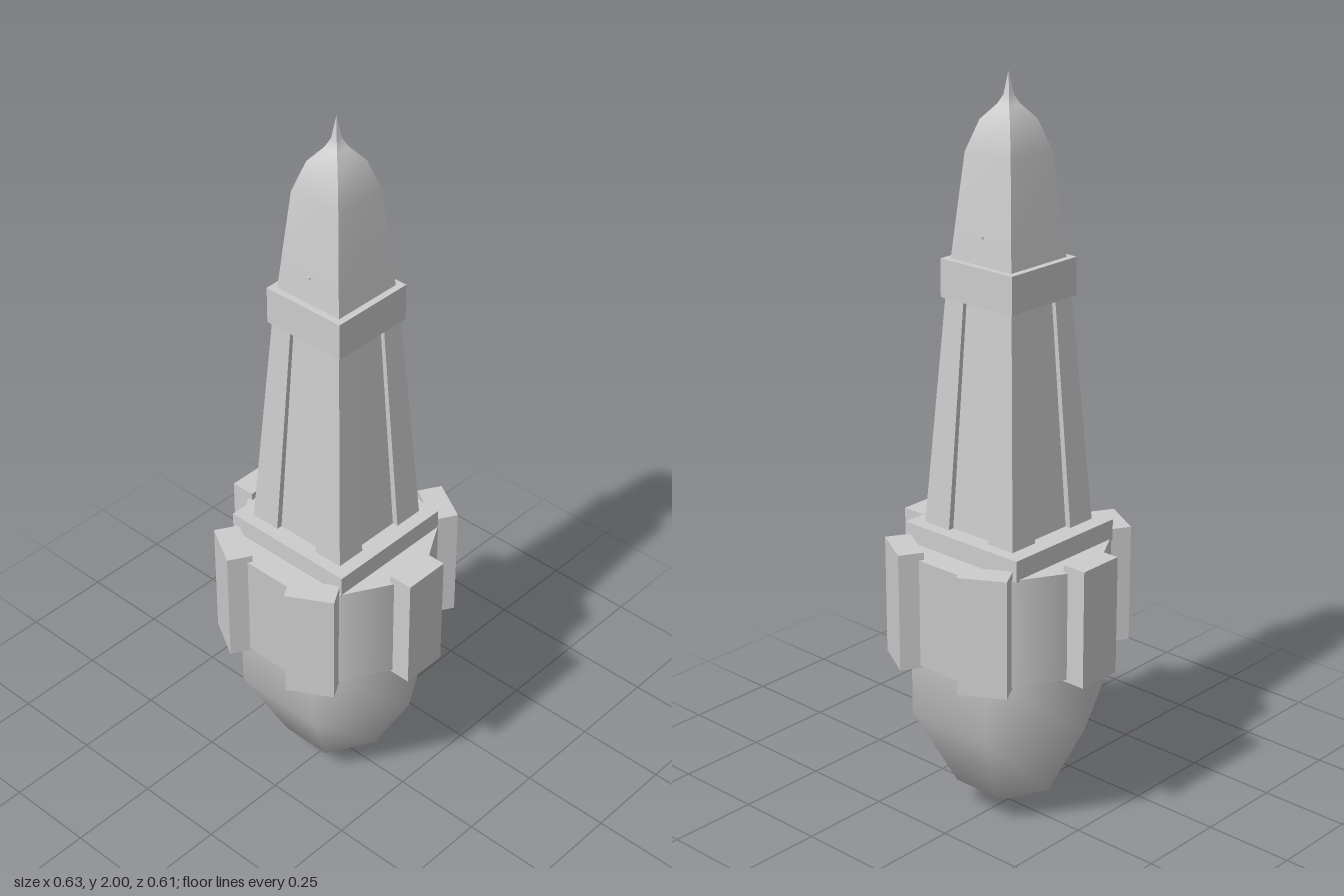
import * as THREE from 'three';

const stone = new THREE.MeshStandardMaterial({ color: 0xcccccc });
stone.name = 'pale stone';

function add(parent, name, geometry, x = 0, y = 0, z = 0) {
  const mesh = new THREE.Mesh(geometry, stone);
  mesh.name = name;
  mesh.position.set(x, y, z);
  parent.add(mesh);
  return mesh;
}

function box(parent, name, w, y0, y1, d, x = 0) {
  return add(parent, name, new THREE.BoxGeometry(w, y1 - y0, d), x, (y0 + y1) / 2, 0);
}

// Square shaft with a shallow groove down the middle of each side, tapering upward
function taperedShaft(half, groove, floor, height, topScale) {
  const side = [[half, -half], [half, -groove], [floor, -groove], [floor, groove], [half, groove]];
  const points = [];
  for (let i = 0; i < 4; i++) {
    for (const [x, y] of side) {
      points.push(new THREE.Vector2(x, y).rotateAround(new THREE.Vector2(), i * Math.PI / 2));
    }
  }
  const geo = new THREE.ExtrudeGeometry(new THREE.Shape(points), { depth: height, bevelEnabled: false });
  geo.rotateX(-Math.PI / 2);
  const p = geo.attributes.position;
  for (let i = 0; i < p.count; i++) {
    const s = 1 + (topScale - 1) * p.getY(i) / height;
    p.setXYZ(i, p.getX(i) * s, p.getY(i), p.getZ(i) * s);
  }
  geo.computeVertexNormals();
  return geo;
}

// One curved side of the spire, smooth along its height
function spirePanel(profile) {
  const pos = [], index = [];
  profile.forEach(([r, y], i) => {
    pos.push(-r, y, r, r, y, r);
    if (i > 0) {
      const a = 2 * (i - 1);
      index.push(a, a + 1, a + 3);
      if (r > 0) index.push(a, a + 3, a + 2);
      else index.push(a, a + 3, a + 2);
    }
  });
  const geo = new THREE.BufferGeometry();
  geo.setAttribute('position', new THREE.Float32BufferAttribute(pos, 3));
  geo.setIndex(index);
  geo.computeVertexNormals();
  return geo;
}

export function createModel() {
  const model = new THREE.Group();
  model.name = 'tower';

  // Six-sided rounded bulb underneath
  const bulb = [[0, 0], [0.145, 0.083], [0.266, 0.305], [0.266, 0.5]].map(p => new THREE.Vector2(...p));
  add(model, 'bulb', new THREE.LatheGeometry(bulb, 6)).rotation.y = Math.PI / 6;

  // Hexagonal collar with a pillar on each corner
  add(model, 'collar', new THREE.CylinderGeometry(0.298, 0.298, 0.297, 6), 0, 0.6215, 0).rotation.y = Math.PI / 6;
  for (let i = 0; i < 6; i++) {
    const arm = new THREE.Group();
    arm.name = 'collarPillar';
    arm.rotation.y = i * Math.PI / 3;
    box(arm, 'pillar', 0.068, 0.466, 0.79, 0.13, 0.281);
    model.add(arm);
  }

  // Plinth, shaft and band
  box(model, 'plinth', 0.387, 0.765, 0.823, 0.373, -0.003);
  add(model, 'shaft', taperedShaft(0.153, 0.068, 0.137, 0.612, 0.73), 0, 0.822, 0);
  box(model, 'band', 0.24, 1.43, 1.53, 0.24);

  // Four-sided spire
  const profile = [[0.102, 1.528], [0.076, 1.8], [0.05, 1.88], [0.02, 1.917], [0.009, 1.94], [0, 2]];
  const panel = spirePanel(profile);
  for (let i = 0; i < 4; i++) add(model, 'spireSide', panel).rotation.y = i * Math.PI / 2;

  // Tiny pegs low on the front and back of the spire
  for (const s of [1, -1]) {
    add(model, 'spirePeg', new THREE.BoxGeometry(0.008, 0.006, 0.008), 0, 1.6, s * 0.095);
  }
  return model;
}
